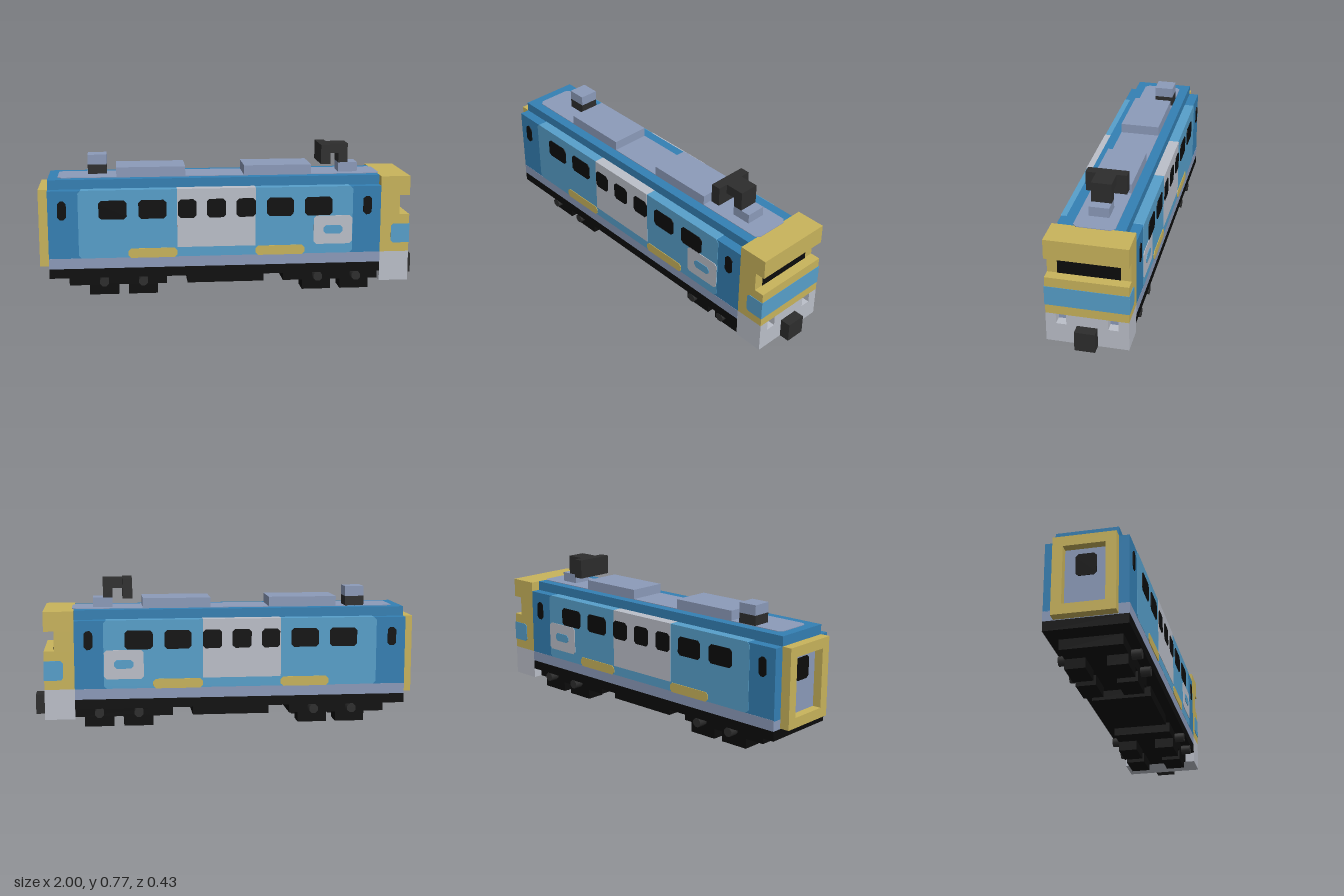
import * as THREE from 'three';

const mat = (name, color) => {
  const m = new THREE.MeshStandardMaterial({ color });
  m.name = name;
  return m;
};

export function createModel() {
  const model = new THREE.Group();
  model.name = 'railcar';
  const lightBlue = mat('light blue', 0x57a0cb);
  const darkBlue = mat('dark blue', 0x3480b4);
  const yellow = mat('yellow', 0xc9b45c);
  const grey = mat('pale grey', 0xbcc0ca);
  const slate = mat('blue grey', 0x8c9bba);
  const black = mat('black', 0x0c0c0c);
  const charcoal = mat('charcoal', 0x2d2d2d);
  const W = 0.205; // half width of the body

  const add = (name, geometry, material) => {
    const mesh = new THREE.Mesh(geometry, material);
    mesh.name = name;
    model.add(mesh);
    return mesh;
  };
  // Box given by its limits on each axis
  const box = (name, m, x0, x1, y0, y1, z0, z1) => {
    const mesh = add(name, new THREE.BoxGeometry(x1 - x0, y1 - y0, z1 - z0), m);
    mesh.position.set((x0 + x1) / 2, (y0 + y1) / 2, (z0 + z1) / 2);
    return mesh;
  };
  // Rectangle with cut corners, extruded along z
  const cutRect = (x0, x1, y0, y1, c, depth) => {
    const s = new THREE.Shape();
    s.moveTo(x0 + c, y0);
    s.lineTo(x1 - c, y0);
    s.lineTo(x1, y0 + c);
    s.lineTo(x1, y1 - c);
    s.lineTo(x1 - c, y1);
    s.lineTo(x0 + c, y1);
    s.lineTo(x0, y1 - c);
    s.lineTo(x0, y0 + c);
    s.closePath();
    return new THREE.ExtrudeGeometry(s, { depth, bevelEnabled: false });
  };
  // Thin painted plate on both sides of the body
  const plate = (name, m, x0, x1, y0, y1, c, lift = 0.002) => {
    for (const side of [1, -1]) {
      const mesh = add(name, cutRect(x0, x1, y0, y1, c, 0.004), m);
      mesh.position.z = side * (W + lift) - 0.002;
    }
  };

  // Body shell, sill and roof
  box('bodyShell', darkBlue, -0.95, 0.79, 0.205, 0.565, -W, W);
  box('sill', slate, -0.95, 0.79, 0.155, 0.21, -W - 0.001, W + 0.001);
  box('roof', darkBlue, -0.95, 0.79, 0.565, 0.615, -0.154, 0.154);
  const roofPanel = add('roofPanel', cutRect(-0.9, 0.8, -0.103, 0.103, 0.02, 0.003), slate);
  roofPanel.rotation.x = -Math.PI / 2;
  roofPanel.position.y = 0.615;

  // Coloured wall sections running through the body
  const wall = add('sideWall', cutRect(-0.795, 0.64, 0.21, 0.567, 0.015, 2 * W + 0.004), lightBlue);
  wall.position.z = -W - 0.002;
  box('doorSection', grey, -0.285, 0.125, 0.26, 0.568, -W - 0.004, W + 0.004);

  // Side windows
  const windows = [[-0.9, -0.855], [-0.69, -0.545], [-0.485, -0.34], [-0.28, -0.185],
    [-0.13, -0.03], [0.025, 0.125], [0.185, 0.325], [0.385, 0.53], [0.695, 0.74]];
  for (const [a, b] of windows) plate('sideWindow', black, a, b, 0.415, 0.513, 0.014, 0.005);

  // Yellow bands and grey badge panel
  plate('yellowBand', yellow, -0.54, -0.285, 0.208, 0.258, 0.014, 0.003);
  plate('yellowBand', yellow, 0.125, 0.385, 0.208, 0.258, 0.014, 0.003);
  plate('sidePanel', grey, 0.433, 0.638, 0.26, 0.412, 0.014, 0.003);
  plate('sidePanelInset', lightBlue, 0.485, 0.587, 0.315, 0.36, 0.014, 0.006);

  // Underframe, bogies, wheels and hubs
  box('underframe', black, -0.95, 0.79, 0.105, 0.155, -W, W);
  for (const [a, b] of [[-0.85, -0.34], [-0.23, 0.175], [0.28, 0.79]]) {
    box('underfloorBlock', black, a, b, 0.052, 0.105, -0.154, 0.154);
  }
  for (const x of [-0.668, -0.464, 0.46, 0.665]) {
    for (const side of [1, -1]) {
      const z = side * 0.103;
      box('wheel', black, x - 0.077, x + 0.077, 0, 0.06, z - 0.051, z + 0.051);
      const hub = add('wheelHub', new THREE.CylinderGeometry(0.025, 0.025, 0.05, 8), charcoal);
      hub.geometry.rotateY(Math.PI / 8);
      hub.rotation.x = Math.PI / 2;
      hub.position.set(x, 0.08, side * 0.179);
    }
  }

  // Driving cab with a window slot cut across its nose
  box('cabLower', yellow, 0.79, 0.945, 0.21, 0.41, -W, W);
  box('cabMiddle', yellow, 0.79, 0.892, 0.41, 0.513, -W, W);
  box('cabTop', yellow, 0.79, 0.945, 0.513, 0.615, -W, W);
  box('windscreen', black, 0.89, 0.895, 0.411, 0.512, -0.154, 0.154);
  box('noseStripe', lightBlue, 0.943, 0.947, 0.258, 0.36, -W - 0.002, W + 0.002);
  plate('cabSideStripe', lightBlue, 0.848, 0.947, 0.258, 0.36, 0.012, 0.001);
  box('cabSideStripeEnd', lightBlue, 0.93, 0.946, 0.258, 0.36, -W - 0.003, W + 0.003);

  // Cab skirt with recessed headlights, and the coupler
  box('skirt', grey, 0.79, 0.945, 0.052, 0.155, -W, W);
  box('skirtBack', grey, 0.79, 0.893, 0.155, 0.21, -W, W);
  box('skirtCentre', grey, 0.893, 0.945, 0.155, 0.21, -0.103, 0.103);
  for (const side of [1, -1]) {
    const z = side * 0.1795;
    box('skirtCorner', grey, 0.893, 0.945, 0.155, 0.21, z - 0.0255, z + 0.0255);
    const h = side * 0.1285;
    box('headlight', slate, 0.892, 0.896, 0.155, 0.21, h - 0.0255, h + 0.0255);
  }
  box('coupler', charcoal, 0.945, 1, 0.052, 0.155, -0.051, 0.051);

  // Gangway frame with an end door inside
  for (const [a, b] of [[0.158, 0.21], [0.513, 0.565]]) {
    box('gangwayBar', yellow, -1, -0.95, a, b, -0.154, 0.154);
  }
  for (const z of [-0.1285, 0.1285]) {
    box('gangwayPost', yellow, -1, -0.95, 0.21, 0.513, z - 0.0255, z + 0.0255);
  }
  box('endDoor', slate, -0.955, -0.949, 0.21, 0.513, -0.103, 0.103);
  const endWindow = add('endDoorWindow', cutRect(-0.051, 0.051, 0.37, 0.485, 0.014, 0.004), black);
  endWindow.rotation.y = -Math.PI / 2;
  endWindow.position.x = -0.954;

  // Roof equipment
  box('roofUnit', slate, -0.595, -0.235, 0.615, 0.668, -0.103, 0.103);
  box('roofUnit', slate, 0.075, 0.432, 0.615, 0.668, -0.103, 0.103);
  box('ventBase', charcoal, -0.745, -0.645, 0.615, 0.668, -0.103, -0.003);
  box('ventCap', slate, -0.745, -0.645, 0.668, 0.72, -0.103, -0.003);

  // Pantograph
  box('pantographBase', slate, 0.588, 0.69, 0.615, 0.668, -0.051, 0.051);
  box('pantographPost', charcoal, 0.588, 0.638, 0.668, 0.72, -0.051, 0.051);
  box('pantographArm', charcoal, 0.536, 0.638, 0.718, 0.77, -0.051, 0.051);
  box('pantographHead', charcoal, 0.485, 0.536, 0.668, 0.77, -0.103, 0.103);

  return model;
}
